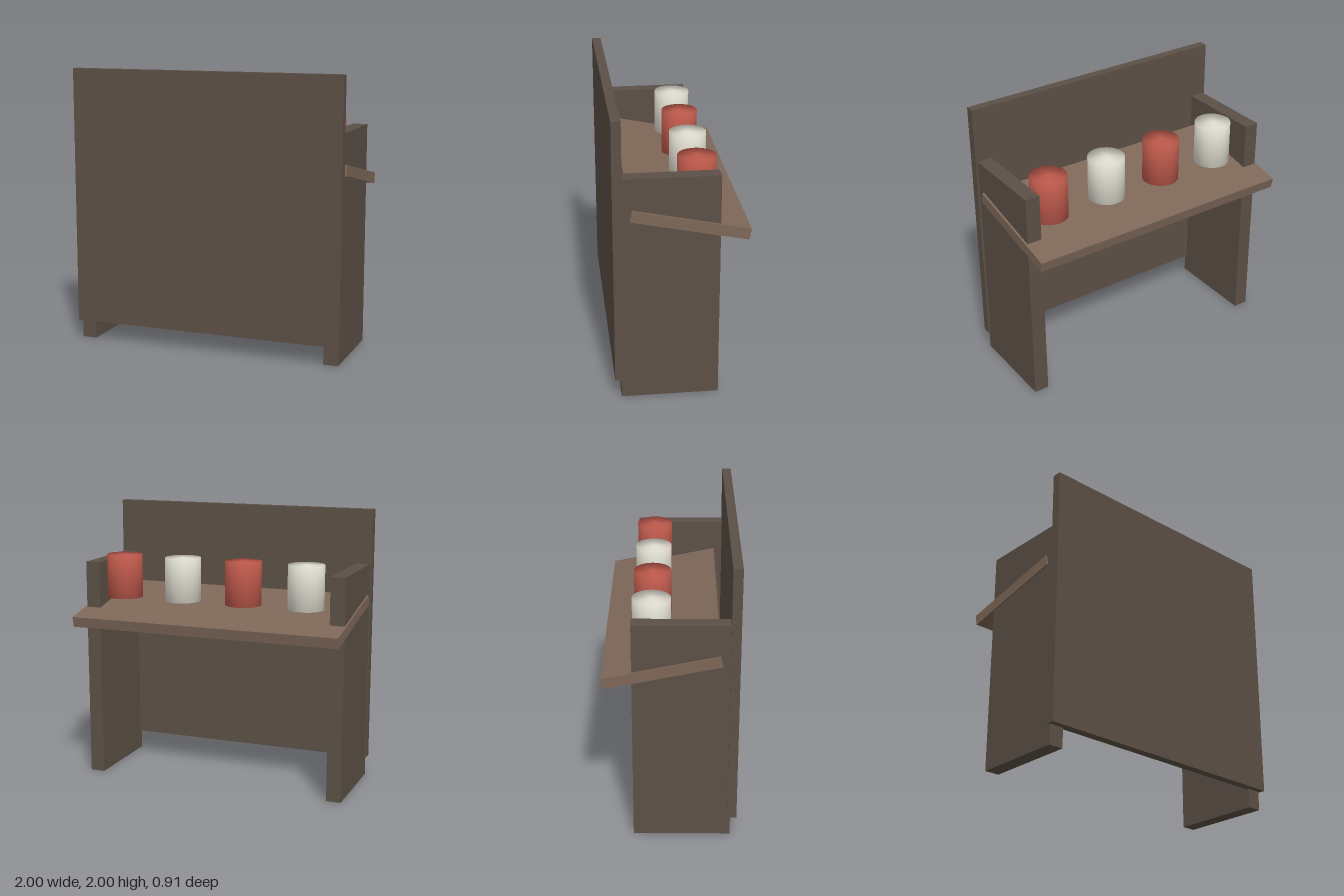
import * as THREE from 'three';

export function createModel() {
  const model = new THREE.Group();
  const paint = (color) => new THREE.MeshStandardMaterial({ color });
  const darkWood = paint(0x5c5046);
  const lightWood = paint(0x7d6758);
  const red = paint(0xbf5a4c);
  const cream = paint(0xe2dfd2);

  function add(name, geometry, material, x, y, z) {
    const mesh = new THREE.Mesh(geometry, material);
    mesh.name = name;
    mesh.position.set(x, y, z);
    model.add(mesh);
    return mesh;
  }

  // Tall front board, raised off the ground
  add('frontPanel', new THREE.BoxGeometry(2, 1.86, 0.065), darkWood, 0, 1.07, 0.4235);

  // Solid side boards that carry the counter
  const side = new THREE.BoxGeometry(0.107, 1.605, 0.667);
  add('leftSide', side, darkWood, 0.931, 0.8025, 0.0785);
  add('rightSide', side, darkWood, -0.935, 0.8025, 0.0785);

  // Counter sloping down toward the back
  const counter = add('counter', new THREE.BoxGeometry(2, 0.077, 0.802), lightWood, 0, 1.27, -0.056);
  counter.rotation.x = -0.205;

  // Row of closed jars, shaded softly over the rims
  const r = 0.13, h = 0.315;
  const profile = [[0, 0], [r, 0], [r, h], [0, h]].map(([x, y]) => new THREE.Vector2(x, y));
  const jar = new THREE.LatheGeometry(profile, 32);
  for (let i = 0; i < 4; i++) {
    add('jar' + (i + 1), jar, i % 2 ? red : cream, -0.67 + i * 0.467, 1.343, -0.127);
  }

  return model;
}
